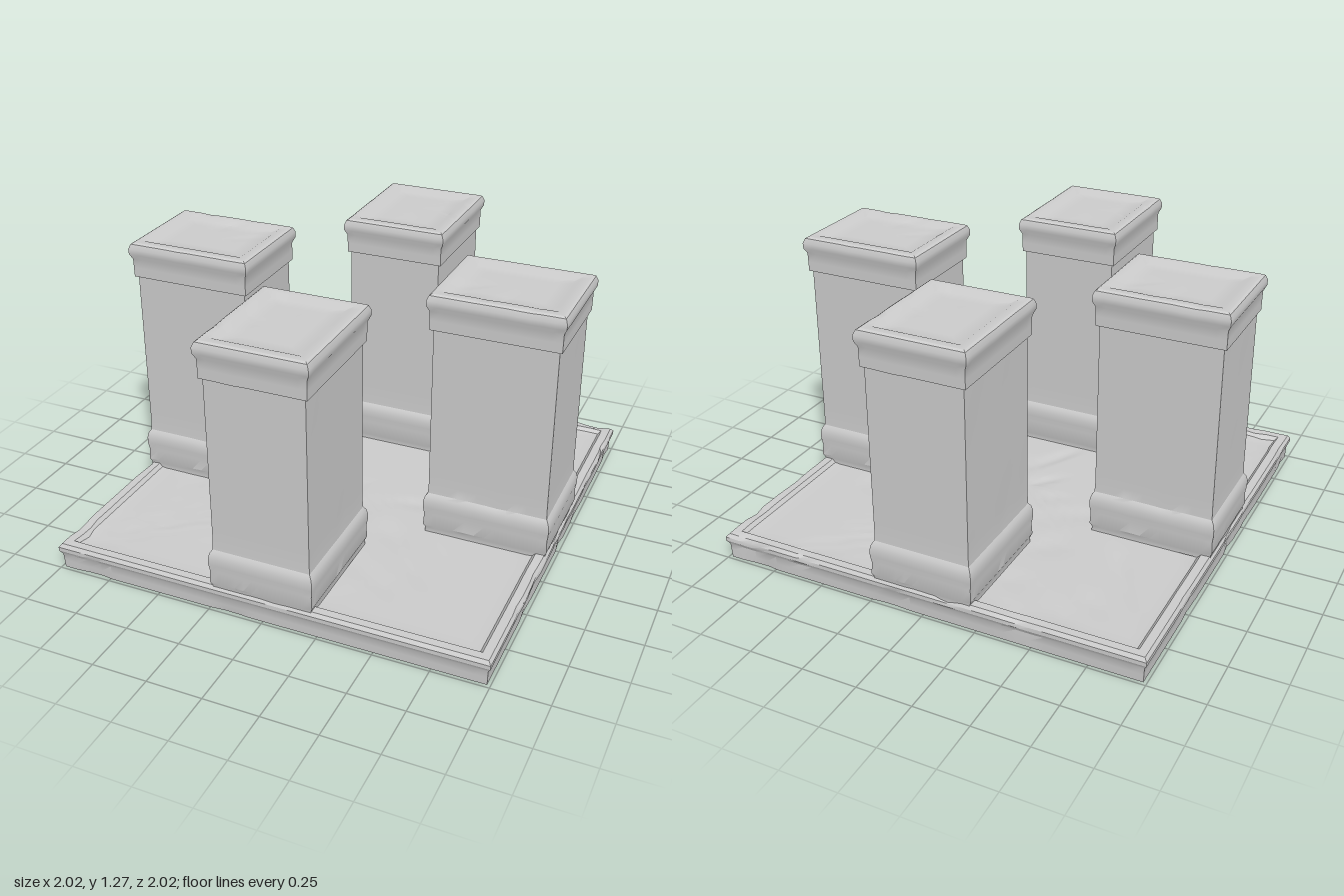
import * as THREE from 'three';
import { toCreasedNormals } from 'three/addons/utils/BufferGeometryUtils.js';

const CORNERS = [[1, 1], [1, -1], [-1, -1], [-1, 1]];

// Scattered shallow dents for worn stone, 0 to 1
function dent(x, y, z) {
  const s = Math.sin(9 * x + 5 * Math.sin(4 * z + 2 * y)) * Math.sin(11 * z + 4 * Math.sin(5 * x + 3 * y) + 6 * y);
  return Math.max(0, s - 0.55) / 0.45;
}

// Rectangular loft: profile is [offset, y] pairs added to the half sizes hx, hz
function rectLoft(hx, hz, profile, segs, step, wear) {
  const rings = [profile[0]];
  for (let i = 1; i < profile.length; i++) {
    const [o0, y0] = profile[i - 1], [o1, y1] = profile[i];
    const n = Math.max(1, Math.ceil(Math.hypot(o1 - o0, y1 - y0) / step));
    for (let k = 1; k <= n; k++) rings.push([o0 + (o1 - o0) * k / n, y0 + (y1 - y0) * k / n]);
  }
  const pos = [], idx = [], count = 4 * segs;
  for (const [o, y] of rings) {
    for (let j = 0; j < count; j++) {
      const a = CORNERS[Math.floor(j / segs)], b = CORNERS[(Math.floor(j / segs) + 1) % 4];
      const t = (j % segs) / segs;
      const x = (a[0] + (b[0] - a[0]) * t) * (hx + o);
      const z = (a[1] + (b[1] - a[1]) * t) * (hz + o);
      const d = wear * dent(x, y, z);
      pos.push(x * (1 - d), Math.max(0, y - (y > 0 ? d : 0)), z * (1 - d));
    }
  }
  for (let i = 0; i < rings.length - 1; i++) {
    for (let j = 0; j < count; j++) {
      const a = i * count + j, b = i * count + (j + 1) % count;
      idx.push(a, b, b + count, a, b + count, a + count);
    }
  }
  const geo = new THREE.BufferGeometry();
  geo.setAttribute('position', new THREE.Float32BufferAttribute(pos, 3));
  geo.setIndex(idx);
  return toCreasedNormals(geo, 0.5);
}

export function createModel() {
  const model = new THREE.Group();
  model.name = 'pillarMonument';
  const stone = new THREE.MeshStandardMaterial({ color: 0xcccccc, side: THREE.DoubleSide });

  // Slab: hollow underneath, with a raised rim around a sunken floor
  const slab = new THREE.Mesh(rectLoft(1, 1, [
    [-0.015, 0], [-0.012, 0.07], [0, 0.09], [0, 0.108], [-0.012, 0.124],
    [-0.05, 0.124], [-0.065, 0.108], [-0.09, 0.105], [-1, 0.105],
  ], 32, 0.05, 0.008), stone);
  slab.name = 'baseSlab';
  model.add(slab);

  // Pillar: plinth, shaft, neck band, flared cornice and sunken top panel
  const pillarGeo = rectLoft(0.22, 0.27, [
    [0.008, 0.105], [0.008, 0.128], [0.016, 0.145], [0.013, 0.2], [0.018, 0.235], [0.018, 0.265],
    [0.012, 0.29], [0.002, 0.305],
    [0, 0.35], [0, 1.105],
    [0.013, 1.105], [0.014, 1.19],
    [0.026, 1.215], [0.027, 1.24], [0.018, 1.262], [0.008, 1.268],
    [-0.025, 1.268], [-0.055, 1.254], [-0.22, 1.254],
  ], 12, 0.06, 0.003);
  ['front', 'left', 'back', 'right'].forEach((side, i) => {
    const holder = new THREE.Group();
    holder.name = side + 'Pillar';
    const pillar = new THREE.Mesh(pillarGeo, stone);
    pillar.name = side + 'PillarStone';
    pillar.position.z = 0.713;
    holder.rotation.y = i * Math.PI / 2;
    holder.add(pillar);
    model.add(holder);
  });

  return model;
}
